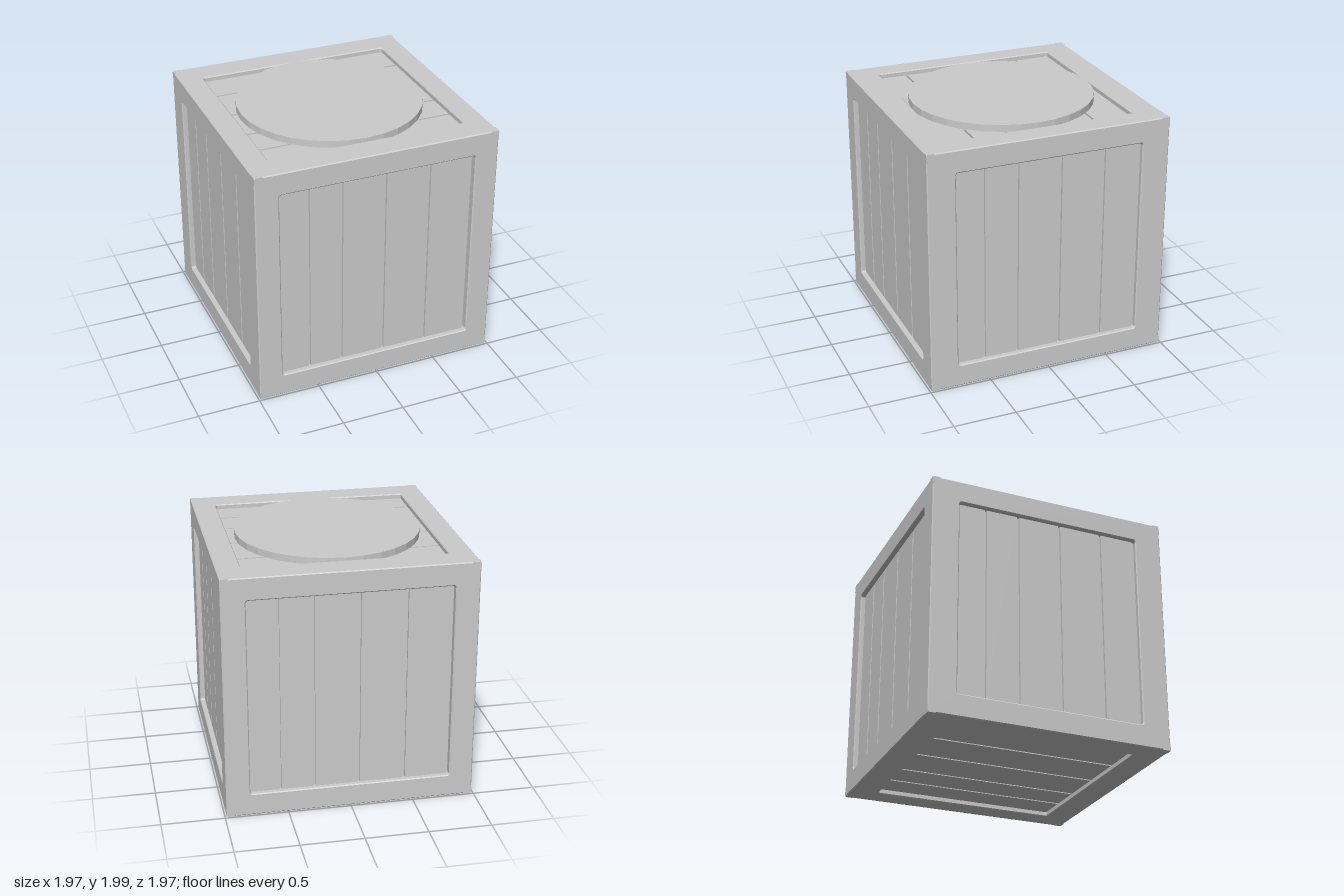
import * as THREE from 'three';

const HALF = 0.987;      // half size of the crate
const MID = 0.998;       // height of its centre
const RECESS = 0.04;     // how far the planks sit behind the frame
const GAP = 0.018;       // width of the grooves between planks
const BEVEL = 0.008;

const material = new THREE.MeshStandardMaterial({ color: 0xcccccc, flatShading: true });

function addMesh(parent, name, geometry, x = 0, y = 0, z = 0) {
  const mesh = new THREE.Mesh(geometry, material);
  mesh.name = name;
  mesh.position.set(x, y, z);
  parent.add(mesh);
  return mesh;
}

// Rectangular window with small rounded corners
function windowPath(w, h, r) {
  const path = new THREE.Path();
  path.absarc(w - r, h - r, r, 0, Math.PI / 2);
  path.absarc(-w + r, h - r, r, Math.PI / 2, Math.PI);
  path.absarc(-w + r, -h + r, r, Math.PI, Math.PI * 1.5);
  path.absarc(w - r, -h + r, r, Math.PI * 1.5, Math.PI * 2);
  path.closePath();
  return path;
}

// One side: bevelled frame plate with a window, upright planks set behind it
function makeSide(name, w, h, grooves) {
  const side = new THREE.Group();
  side.name = name;

  const plate = new THREE.Shape();
  plate.moveTo(-HALF, -HALF).lineTo(HALF, -HALF).lineTo(HALF, HALF).lineTo(-HALF, HALF).closePath();
  plate.holes.push(windowPath(w, h, 0.02));
  const frame = new THREE.ExtrudeGeometry(plate, {
    depth: 0.07 - 2 * BEVEL, bevelEnabled: true, bevelSegments: 1,
    bevelSize: BEVEL, bevelThickness: BEVEL, bevelOffset: -BEVEL, curveSegments: 3,
  });
  addMesh(side, name + 'Frame', frame, 0, 0, HALF - 0.07 + BEVEL);

  const edges = [-w - 0.02, ...grooves, w + 0.02];
  for (let i = 0; i < edges.length - 1; i++) {
    const a = edges[i] + GAP / 2, b = edges[i + 1] - GAP / 2;
    if (b - a < 0.03) continue;
    const plank = new THREE.BoxGeometry(b - a, 2 * h + 0.04, 0.04);
    addMesh(side, name + 'Plank', plank, (a + b) / 2, 0, HALF - RECESS - 0.02);
  }
  return side;
}

export function createModel() {
  const crate = new THREE.Group();
  crate.name = 'crate';
  const X = new THREE.Vector3(1, 0, 0), Y = new THREE.Vector3(0, 1, 0), Z = new THREE.Vector3(0, 0, 1);
  const neg = (v) => v.clone().negate();

  const wide = [-0.555, -0.285, 0.07, 0.435, 0.79];
  const narrow = [-0.53, -0.255, 0.1, 0.46];

  // Name, window half width and half height, grooves, across / along / outward axes
  const sides = [
    ['front', 0.797, 0.806, wide, X, Y, Z],
    ['back', 0.797, 0.806, wide, neg(X), Y, neg(Z)],
    ['sidePlusX', 0.762, 0.806, narrow, neg(Z), Y, X],
    ['sideMinusX', 0.762, 0.806, narrow, Z, Y, neg(X)],
    ['top', 0.762, 0.797, [-0.47, -0.107, 0.25, 0.522], Z, X, Y],
    ['bottom', 0.797, 0.762, [-0.435, -0.07, 0.285, 0.555], X, Z, neg(Y)],
  ];
  for (const [name, w, h, grooves, across, along, out] of sides) {
    const side = makeSide(name, w, h, grooves);
    side.quaternion.setFromRotationMatrix(new THREE.Matrix4().makeBasis(across, along, out));
    side.position.y = MID;
    crate.add(side);
  }

  // Solid core that closes the grooves
  const core = 2 * (HALF - 0.06);
  addMesh(crate, 'core', new THREE.BoxGeometry(core, core, core), 0, MID, 0);

  // Round lid resting on the top planks
  const lidBase = MID + HALF - RECESS - 0.005;
  const lidHeight = 2 - lidBase;
  addMesh(crate, 'lid', new THREE.CylinderGeometry(0.74, 0.74, lidHeight, 32), 0, lidBase + lidHeight / 2, 0);

  return crate;
}
